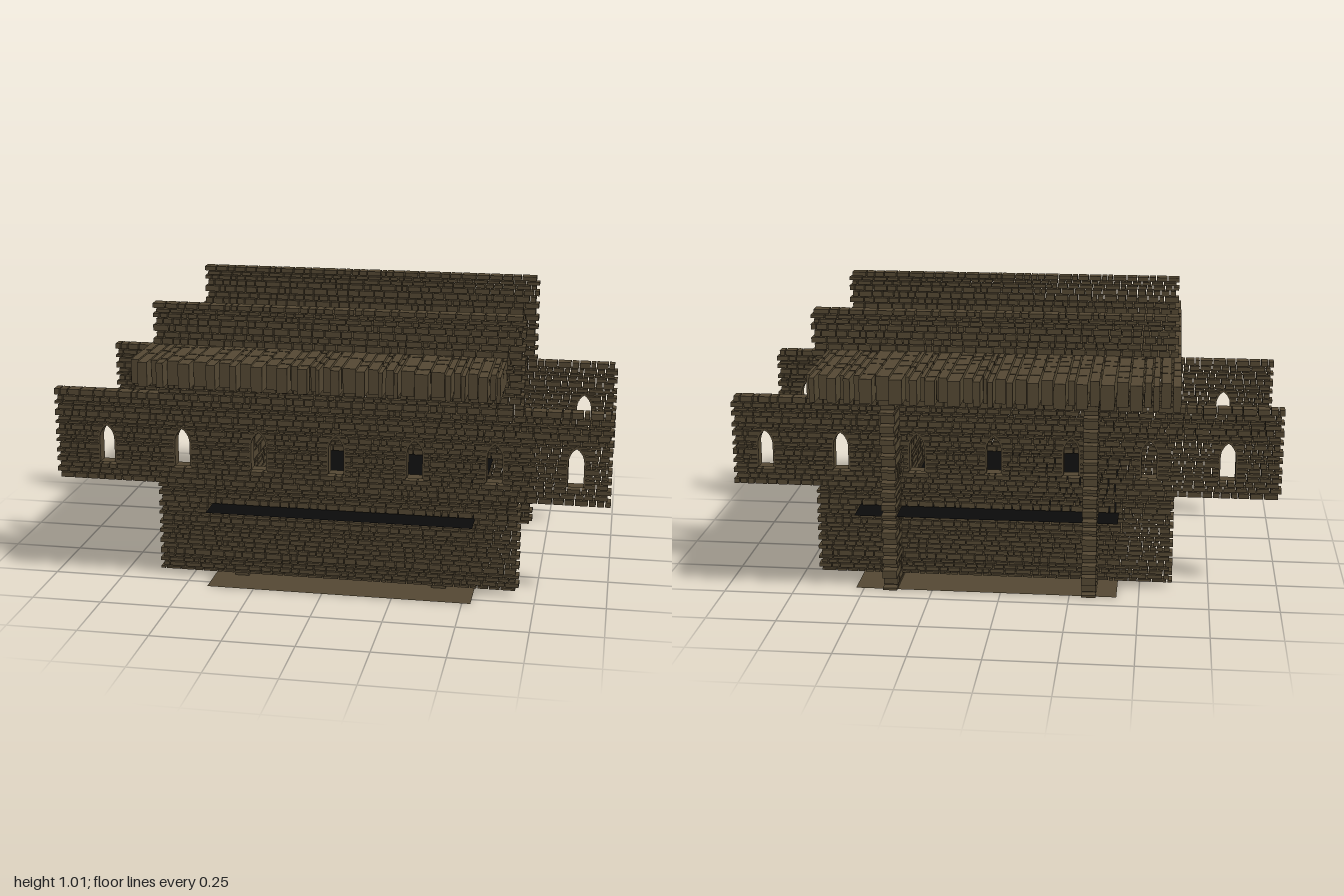
import * as THREE from 'three';
import { mergeGeometries } from 'three/addons/utils/BufferGeometryUtils.js';

const stone = new THREE.MeshStandardMaterial({ color: 0x544833, flatShading: true, side: THREE.DoubleSide });
const dark = new THREE.MeshStandardMaterial({ color: 0x0a0a0a, side: THREE.DoubleSide });

function seeded(seed) {
  let s = seed;
  return () => (s = (s * 16807) % 2147483647) / 2147483647;
}

// Cut start..end into random lengths between min and max that fill it exactly
function divide(start, end, min, max, rand) {
  const sizes = [];
  let total = 0;
  while (total < end - start - min / 2) {
    const size = min + (max - min) * rand();
    sizes.push(size);
    total += size;
  }
  const scale = (end - start) / total;
  let at = start;
  return sizes.map((size) => [at, (at += size * scale)]);
}

// Courses of bricks in the XY plane; spans(y, i) gives the solid runs of course i
function brickwork({ bottom, top, course, length, depth, gap, spans, seed }) {
  const rand = seeded(seed);
  const bricks = [];
  divide(bottom, top, course[0], course[1], rand).forEach(([y0, y1], i) => {
    for (const [a, b] of spans((y0 + y1) / 2, i)) {
      for (const [x0, x1] of divide(a, b, length[0], length[1], rand)) {
        const w = x1 - x0 - gap;
        if (w < 0.002) continue;
        const g = new THREE.BoxGeometry(w, y1 - y0 - gap, depth);
        bricks.push(g.translate((x0 + x1) / 2, (y0 + y1) / 2, 0));
      }
    }
  });
  return mergeGeometries(bricks);
}

// Pointed window outline, inset or outset around a half width
const windowXs = Array.from({ length: 7 }, (_, i) => -0.805 + i * 0.28);
const sill = 0.42, spring = 0.505, tip = 0.562;
function halfWidth(y) {
  if (y < sill || y > tip) return 0;
  if (y < spring) return 0.03;
  return 0.03 * Math.sqrt(1 - (y - spring) / (tip - spring));
}

function archOutline(target, w, rise) {
  target.moveTo(-w, sill);
  target.lineTo(-w, spring);
  target.quadraticCurveTo(-w, spring + rise * 0.65, 0, spring + rise);
  target.quadraticCurveTo(w, spring + rise * 0.65, w, spring);
  target.lineTo(w, sill);
  target.closePath();
  return target;
}

// Solid runs of a long wall: wide through the wings, broken by the windows
function longWallSpans(y, i) {
  const shift = i % 2 ? 0.012 : 0;
  const wing = y > 0.355 && y < 0.687;
  const left = wing ? -1 + shift : -0.62 + shift;
  const right = wing ? 0.988 + shift : 0.68 + shift;
  const w = halfWidth(y);
  if (!w) return [[left, right]];
  const runs = [];
  let from = left;
  for (const x of windowXs) {
    runs.push([from, x - w]);
    from = x + w;
  }
  runs.push([from, right]);
  return runs;
}

export function createModel() {
  const model = new THREE.Group();
  const add = (name, geometry, material = stone, parent = model) => {
    const mesh = new THREE.Mesh(geometry, material);
    mesh.name = name;
    parent.add(mesh);
    return mesh;
  };

  // Front and back walls with wings
  const longWall = brickwork({
    bottom: 0.02, top: 1.015, course: [0.012, 0.026], length: [0.02, 0.06],
    depth: 0.044, gap: 0.004, spans: longWallSpans, seed: 11,
  });
  const frameShape = archOutline(new THREE.Shape(), 0.034, 0.063);
  frameShape.holes.push(archOutline(new THREE.Path(), 0.027, 0.053));
  const frame = new THREE.ExtrudeGeometry(frameShape, { depth: 0.046, bevelEnabled: false, curveSegments: 6 });
  frame.translate(0, 0, -0.023);
  for (const [name, z] of [['frontWall', 0.423], ['backWall', -0.287]]) {
    const wall = new THREE.Group();
    wall.name = name;
    wall.position.z = z;
    add(name + 'Bricks', longWall, stone, wall);
    for (const x of windowXs) add('windowFrame', frame, stone, wall).position.x = x;
    model.add(wall);
  }

  // Side walls joining the long walls, running on past the back
  const sideWall = brickwork({
    bottom: 0, top: 0.785, course: [0.014, 0.036], length: [0.03, 0.1],
    depth: 0.052, gap: 0.005, seed: 29,
    spans: (y, i) => [i % 2 ? [-0.4, 0.415] : [-0.42, 0.44]],
  });
  sideWall.rotateY(Math.PI / 2);
  add('leftWall', sideWall).position.x = 0.402;
  add('rightWall', sideWall).position.x = -0.32;

  // Roof of brick rows running front to back with staggered ends
  const roof = brickwork({
    bottom: -0.632, top: 0.632, course: [0.018, 0.054], length: [0.05, 0.15],
    depth: 0.086, gap: 0.006, seed: 47,
    spans: (y, i) => [i % 2 ? [-0.68, 0.716] : [-0.716, 0.672]],
  });
  roof.rotateZ(-Math.PI / 2).rotateX(-Math.PI / 2).rotateY(Math.PI / 2);
  // Courses now lie flat; turn them so the rows run along z
  roof.computeBoundingBox();
  const size = roof.boundingBox.getSize(new THREE.Vector3());
  if (size.x > size.z) roof.rotateY(Math.PI / 2);
  if (size.y > 0.2) {
    roof.rotateZ(Math.PI / 2);
    roof.computeBoundingBox();
    if (roof.boundingBox.max.x > 0.7) roof.rotateY(Math.PI / 2);
  }
  add('roof', roof).position.y = 0.824;

  // Thin ground floor and upper floor sheets
  const floor = new THREE.PlaneGeometry(0.95, 0.96).rotateX(-Math.PI / 2);
  add('groundFloor', floor).position.set(0.055, 0.001, 0.06);
  add('upperFloor', floor, dark).position.set(0.055, 0.28, 0.06);

  return model;
}
